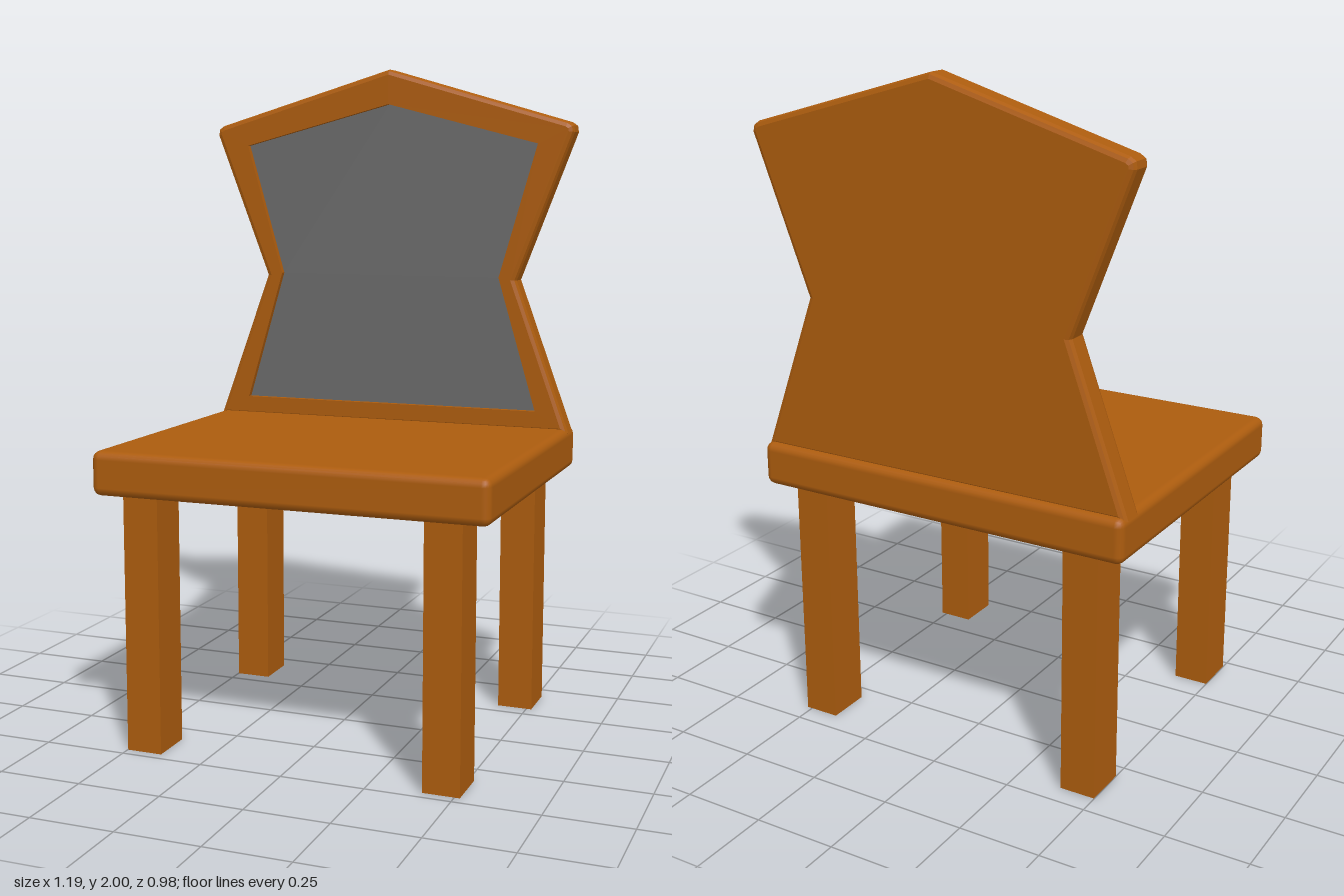
import * as THREE from 'three';
import { RoundedBoxGeometry } from 'three/addons/geometries/RoundedBoxGeometry.js';
import { mergeGeometries } from 'three/addons/utils/BufferGeometryUtils.js';

const wood = new THREE.MeshStandardMaterial({ color: 0xac5c0e });
const woodFlat = new THREE.MeshStandardMaterial({ color: 0xac5c0e, flatShading: true });
const grey = new THREE.MeshStandardMaterial({ color: 0x6a6a6a });

// Counter-clockwise outline from its right half (bottom to top, ending at x = 0)
function mirrored(half) {
  const pts = half.map(([x, y]) => new THREE.Vector2(x, y));
  const left = pts.slice(0, -1).reverse().map((p) => new THREE.Vector2(-p.x, p.y));
  return [...pts, ...left];
}

// Move every edge of an outline inward by d, with mitred corners
function inset(pts, d) {
  const n = pts.length;
  const normal = (a, b) => new THREE.Vector2(a.y - b.y, b.x - a.x).normalize();
  return pts.map((p, i) => {
    const n1 = normal(pts[(i + n - 1) % n], p);
    const n2 = normal(p, pts[(i + 1) % n]);
    return p.clone().addScaledVector(n1.clone().add(n2), d / (1 + n1.dot(n2)));
  });
}

// Wall between rings listed as { pts, z }, facing outward when z rises
function wall(rings) {
  const pos = [];
  for (let r = 0; r + 1 < rings.length; r++) {
    const A = rings[r], B = rings[r + 1], n = A.pts.length;
    for (let i = 0; i < n; i++) {
      const j = (i + 1) % n;
      const v = (R, k) => [R.pts[k].x, R.pts[k].y, R.z];
      pos.push(...v(A, i), ...v(A, j), ...v(B, j), ...v(A, i), ...v(B, j), ...v(B, i));
    }
  }
  const g = new THREE.BufferGeometry();
  g.setAttribute('position', new THREE.Float32BufferAttribute(pos, 3));
  g.computeVertexNormals();
  return g;
}

// Flat face of an outline, optionally with a hole
function face(pts, z, hole) {
  const shape = new THREE.Shape(pts);
  if (hole) shape.holes.push(new THREE.Path(hole));
  const g = new THREE.ShapeGeometry(shape).toNonIndexed();
  g.deleteAttribute('uv');
  return g.translate(0, 0, z);
}

export function createModel() {
  const group = new THREE.Group();
  const add = (name, geometry, material, x = 0, y = 0, z = 0) => {
    const mesh = new THREE.Mesh(geometry, material);
    mesh.name = name;
    mesh.position.set(x, y, z);
    group.add(mesh);
  };

  // Seat slab with softened edges
  add('seat', new RoundedBoxGeometry(1.19, 0.132, 0.976, 2, 0.025), wood, 0, 0.82, 0);

  // Four square legs
  for (const [side, x] of [['right', -0.445], ['left', 0.462]]) {
    for (const [end, z] of [['Front', 0.402], ['Back', -0.368]]) {
      add(side + end + 'Leg', new THREE.BoxGeometry(0.108, 0.765, 0.135), woodFlat, x, 0.3825, z);
    }
  }

  // Waisted backrest: bevelled rim, solid rear, open front with a shallow recess
  const outline = mirrored([[0.595, 0.872], [0.422, 1.345], [0.597, 1.8], [0.594, 1.82], [0.578, 1.831], [0, 2]]);
  const opening = mirrored([[0.49, 0.938], [0.367, 1.353], [0.486, 1.766], [0, 1.892]]);
  const zBack = -0.466, zFront = -0.382, zPanel = -0.4;
  const soft = inset(outline, 0.005), cap = inset(outline, 0.016);
  const rear = face(cap, 0).rotateY(Math.PI).translate(0, 0, zBack);
  add('backrestFrame', mergeGeometries([
    rear,
    wall([
      { pts: cap, z: zBack }, { pts: soft, z: zBack + 0.005 }, { pts: outline, z: zBack + 0.016 },
      { pts: outline, z: zFront - 0.016 }, { pts: soft, z: zFront - 0.005 }, { pts: cap, z: zFront },
    ]),
    face(cap, zFront, opening),
    wall([{ pts: opening, z: zFront }, { pts: opening, z: zPanel }]),
  ]), woodFlat);

  // Grey panel set into the backrest
  add('backrestPanel', face(opening, zPanel), grey);

  return group;
}
